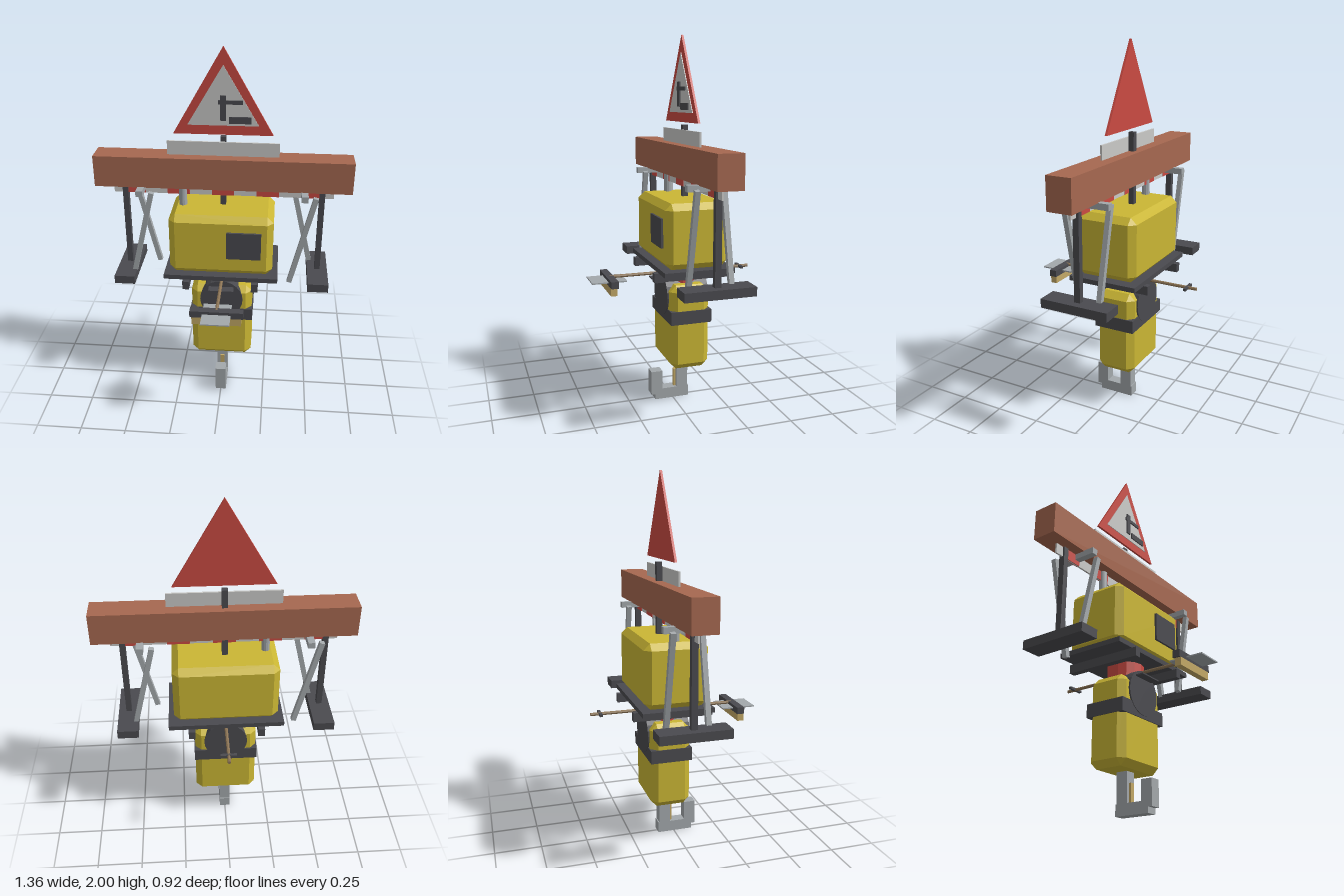
import * as THREE from 'three';
import { ConvexGeometry } from 'three/addons/geometries/ConvexGeometry.js';

const mat = (name, color) => {
  const m = new THREE.MeshStandardMaterial({ color, flatShading: true });
  m.name = name;
  return m;
};

export function createModel() {
  const yellow = mat('machine yellow', 0xcab634);
  const brown = mat('beam brown', 0xa66850);
  const dark = mat('dark steel', 0x4a4a4f);
  const red = mat('signal red', 0xc94a42);
  const white = mat('pale panel', 0xc9c9c7);
  const grey = mat('grey steel', 0xa3a8ab);
  const tan = mat('tan wood', 0xc2a866);
  const rodBrown = mat('rod brown', 0x8c7455);

  const model = new THREE.Group();
  const add = (name, geometry, material) => {
    const mesh = new THREE.Mesh(geometry, material);
    mesh.name = name;
    model.add(mesh);
    return mesh;
  };

  // Box given by its limits on each axis
  const box = (name, material, x0, x1, y0, y1, z0, z1) => {
    const m = add(name, new THREE.BoxGeometry(x1 - x0, y1 - y0, z1 - z0), material);
    m.position.set((x0 + x1) / 2, (y0 + y1) / 2, (z0 + z1) / 2);
    return m;
  };

  // Box with every edge cut off
  const chamferBox = (name, material, w, h, d, c, y, z) => {
    const points = [];
    for (const sx of [-1, 1]) for (const sy of [-1, 1]) for (const sz of [-1, 1]) {
      const [a, b, e] = [sx * w / 2, sy * h / 2, sz * d / 2];
      const [p, q, r] = [a - sx * c, b - sy * c, e - sz * c];
      points.push(new THREE.Vector3(a, q, r), new THREE.Vector3(p, b, r), new THREE.Vector3(p, q, e));
    }
    add(name, new ConvexGeometry(points), material).position.set(0, y, z);
  };

  // Square strut between two points in a plane of constant z
  const strut = (name, x0, y0, x1, y1, z, t) => {
    const m = add(name, new THREE.BoxGeometry(t, Math.hypot(x1 - x0, y1 - y0), t), grey);
    m.position.set((x0 + x1) / 2, (y0 + y1) / 2, z);
    m.rotation.z = -Math.atan2(x1 - x0, y1 - y0);
  };

  const triangle = (name, material, half, y0, y1, z, depth) => {
    const shape = new THREE.Shape([
      new THREE.Vector2(-half, y0), new THREE.Vector2(half, y0), new THREE.Vector2(0, y1)]);
    const g = new THREE.ExtrudeGeometry(shape, { depth, bevelEnabled: false });
    add(name, g, material).position.z = z;
  };

  // Warning sign with pictogram
  triangle('signPlate', red, 0.26, 1.55, 2.0, -0.067, 0.012);
  triangle('signFace', white, 0.185, 1.6, 1.91, -0.055, 0.004);
  box('pictogramPost', dark, -0.015, 0.015, 1.63, 1.76, -0.045, -0.038);
  box('pictogramArm', dark, -0.025, 0.1, 1.715, 1.735, -0.045, -0.038);
  box('pictogramBlock', dark, 0.032, 0.145, 1.615, 1.65, -0.045, -0.038);
  box('signPost', dark, -0.015, 0.015, 1.1, 1.535, -0.09, -0.06);
  box('namePanel', white, -0.295, 0.295, 1.4, 1.51, -0.06, -0.05);

  // Main beam and striped barrier board
  box('beam', brown, -0.682, 0.682, 1.265, 1.435, -0.123, 0.011);
  box('barrierBoard', white, -0.592, 0.592, 1.21, 1.3, -0.06, -0.05);
  for (const x of [-0.48, -0.24, 0, 0.24, 0.48]) {
    box('barrierStripe', red, x - 0.06, x + 0.06, 1.21, 1.3, -0.05, -0.047);
    box('barrierStripe', red, x - 0.06, x + 0.06, 1.21, 1.3, -0.063, -0.06);
  }

  // Legs, feet and crossing struts at both ends
  for (const s of [-1, 1]) {
    const lx = s * 0.53, cx = s * 0.435;
    box('leg', dark, lx - 0.015, lx + 0.015, 0.77, 1.27, -0.073, -0.04);
    box('foot', dark, lx - 0.056, lx + 0.056, 0.733, 0.78, -0.243, 0.129);
    box('crossbar', grey, cx - 0.018, cx + 0.018, 1.235, 1.268, -0.182, 0.069);
    strut('frontStrut', cx - 0.06, 0.738, cx + 0.06, 1.248, 0.035, 0.027);
    strut('backStrut', cx + 0.06, 0.738, cx - 0.06, 1.248, -0.149, 0.027);
    // Rails beneath the base plate
    box('baseRail', dark, s * 0.187 - 0.018, s * 0.187 + 0.018, 0.733, 0.781, -0.272, 0.16);
  }

  // Power unit on its base plate
  box('basePlate', dark, -0.31, 0.31, 0.78, 0.806, -0.248, 0.135);
  chamferBox('powerUnit', yellow, 0.56, 0.345, 0.342, 0.034, 0.978, -0.056);
  box('controlPanel', dark, 0.032, 0.216, 0.915, 1.07, 0.11, 0.127);
  add('exhaust', new THREE.CylinderGeometry(0.022, 0.022, 0.16, 12), grey).position.set(-0.217, 1.2, -0.05);

  // Swivel and hoist motor
  add('swivel', new THREE.CylinderGeometry(0.1, 0.1, 0.1, 14), red).position.set(0, 0.732, -0.056);
  chamferBox('hoistMotor', yellow, 0.342, 0.47, 0.218, 0.034, 0.452, -0.056);
  box('motorBand', dark, -0.176, 0.176, 0.478, 0.55, -0.171, 0.058);
  const drum = add('cableDrum', new THREE.CylinderGeometry(0.12, 0.12, 0.235, 24), dark);
  drum.rotation.x = Math.PI / 2;
  drum.position.set(0, 0.613, -0.056);
  box('drumGuide', dark, -0.07, 0.07, 0.69, 0.697, 0.05, 0.108);

  // Long rod with its tail bar and front handle
  const rod = add('rod', new THREE.CylinderGeometry(0.009, 0.009, 0.81, 8), rodBrown);
  rod.rotation.x = Math.PI / 2;
  rod.position.set(0, 0.73, -0.055);
  box('tailBar', dark, -0.043, 0.043, 0.724, 0.738, -0.416, -0.4);
  box('handleBar', dark, -0.14, 0.14, 0.7, 0.737, 0.332, 0.373);
  box('handleBlock', tan, -0.13, 0.13, 0.658, 0.7, 0.338, 0.373);
  box('handlePlate', grey, -0.075, 0.075, 0.714, 0.721, 0.272, 0.46);

  // Load hook and its latch
  box('hookShank', grey, -0.03, 0.03, 0.03, 0.24, -0.086, -0.022);
  box('hookBase', grey, -0.03, 0.03, 0, 0.06, -0.092, 0.104);
  box('hookTip', grey, -0.03, 0.03, 0.03, 0.165, 0.062, 0.126);
  box('hookLatch', tan, -0.012, 0.012, 0.06, 0.16, -0.022, -0.01);

  return model;
}
